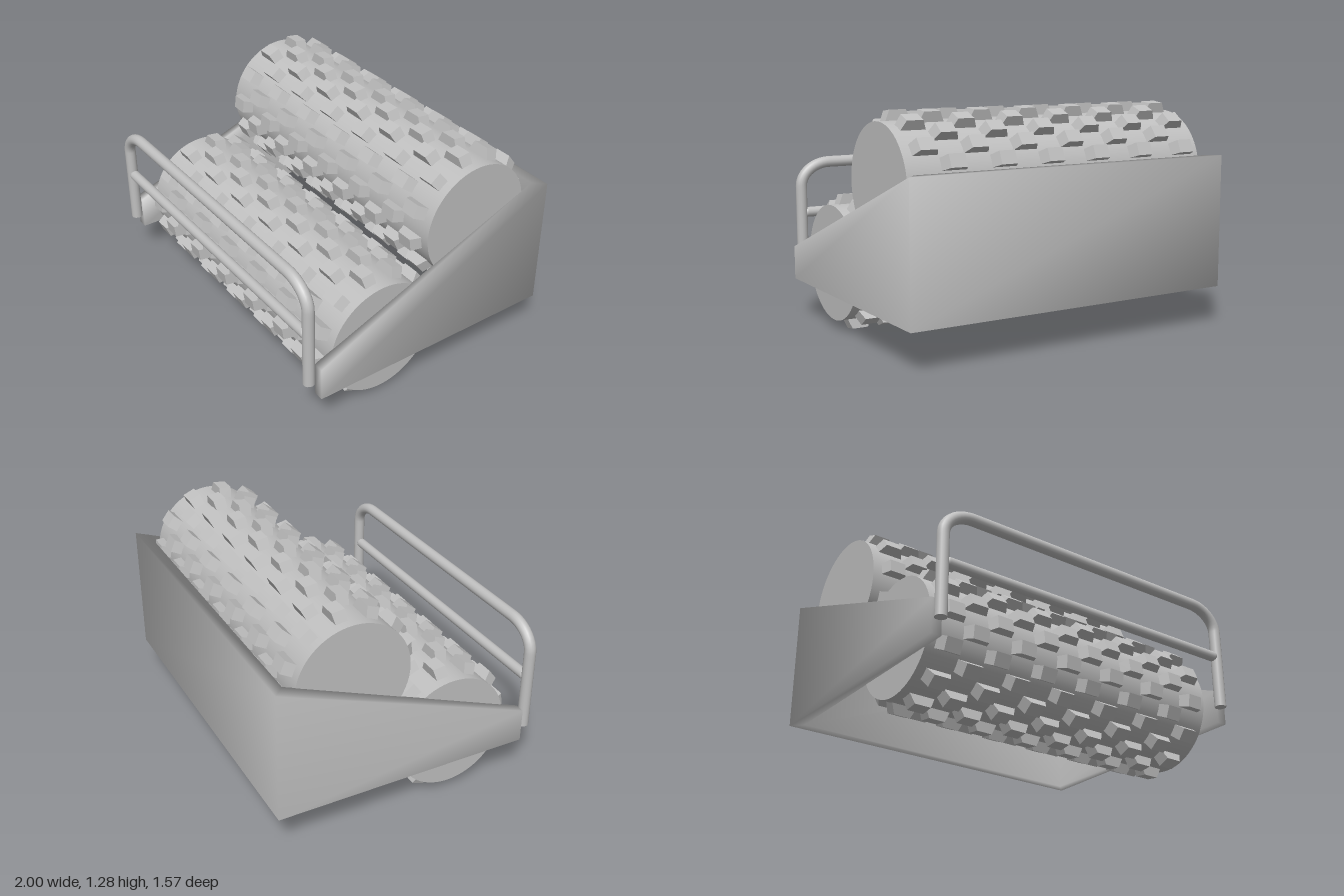
import * as THREE from 'three';
import { mergeGeometries } from 'three/addons/utils/BufferGeometryUtils.js';

const metal = new THREE.MeshStandardMaterial({ color: 0xc0c0c0 });
metal.name = 'grey metal';

function add(parent, name, geometry) {
  const mesh = new THREE.Mesh(geometry, metal);
  mesh.name = name;
  parent.add(mesh);
  return mesh;
}

// One radial tooth, narrower across the roller at its tip
function toothGeometry() {
  const g = new THREE.BoxGeometry(0.148, 0.06, 0.068);
  const p = g.attributes.position;
  for (let i = 0; i < p.count; i++) {
    if (p.getY(i) > 0) {
      p.setX(i, p.getX(i) * 0.64);
      p.setZ(i, p.getZ(i) * 1.1);
    }
  }
  g.computeVertexNormals();
  return g.translate(0, 0.355, 0);
}

// Drum with staggered columns of teeth
function createRoller(name, y, z) {
  const roller = new THREE.Group();
  roller.name = name;
  add(roller, 'drum', new THREE.CylinderGeometry(0.33, 0.33, 1.884, 64).rotateZ(Math.PI / 2));
  const tooth = toothGeometry();
  const teeth = [];
  const columns = 12, perColumn = 12;
  for (let c = 0; c < columns; c++) {
    const x = (c - (columns - 1) / 2) * 0.1486;
    const offset = THREE.MathUtils.degToRad(c % 2 ? 7.5 : -7.5);
    for (let k = 0; k < perColumn; k++) {
      const angle = offset + (k / perColumn) * Math.PI * 2;
      teeth.push(tooth.clone().rotateX(angle).translate(x, 0, 0));
    }
  }
  add(roller, 'teeth', mergeGeometries(teeth));
  roller.position.set(0, y, z);
  return roller;
}

// U-shaped wall, open below and in front, with a sloping top edge
function frameGeometry() {
  const plan = [ // x, z, top height
    [1, 0.717, 0.42], [1, -0.783, 0.987], [-1, -0.783, 0.987], [-1, 0.717, 0.42],
    [-0.94, 0.717, 0.42], [-0.94, -0.72, 0.987], [0.94, -0.72, 0.987], [0.94, 0.717, 0.42],
  ];
  const n = plan.length;
  const positions = [], index = [];
  for (const [x, z] of plan) positions.push(x, 0.225, z);
  for (const [x, z, top] of plan) positions.push(x, top, z);
  const quad = (a, b, c, d) => index.push(a, b, c, a, c, d);
  for (let i = 0; i < n; i++) {
    const j = (i + 1) % n;
    quad(i, j, j + n, i + n);
  }
  for (let i = 0; i < 3; i++) {
    const inner = n - 1 - i;
    quad(n + i, n + i + 1, n + inner - 1, n + inner);
    quad(i, inner, inner - 1, i + 1);
  }
  const g = new THREE.BufferGeometry();
  g.setAttribute('position', new THREE.Float32BufferAttribute(positions, 3));
  g.setIndex(index);
  g.computeVertexNormals();
  return g;
}

// Bent guard rail with a straight cross bar
function createGuardRail() {
  const rail = new THREE.Group();
  rail.name = 'guardRail';
  const r = 0.033, half = 0.95, low = 0.305, high = 0.912, bendX = 0.18, bendY = 0.14;
  const v = (x, y) => new THREE.Vector3(x, y, 0);
  const path = new THREE.CurvePath();
  path.add(new THREE.LineCurve3(v(-half, low), v(-half, high - bendY)));
  path.add(new THREE.CubicBezierCurve3(v(-half, high - bendY), v(-half, high - bendY * 0.45),
    v(-half + bendX * 0.45, high), v(-half + bendX, high)));
  path.add(new THREE.LineCurve3(v(-half + bendX, high), v(half - bendX, high)));
  path.add(new THREE.CubicBezierCurve3(v(half - bendX, high), v(half - bendX * 0.45, high),
    v(half, high - bendY * 0.45), v(half, high - bendY)));
  path.add(new THREE.LineCurve3(v(half, high - bendY), v(half, low)));
  add(rail, 'bentTube', new THREE.TubeGeometry(path, 120, r, 16, false));
  // End caps of the tube
  for (const side of [-1, 1]) {
    add(rail, 'tubeEnd', new THREE.CircleGeometry(r, 16).rotateX(Math.PI / 2))
      .position.set(side * half, low, 0);
  }
  add(rail, 'crossBar', new THREE.CapsuleGeometry(0.03, 1.83, 6, 16).rotateZ(Math.PI / 2))
    .position.y = 0.615;
  rail.position.set(-0.017, 0, 0.75);
  return rail;
}

export function createModel() {
  const model = new THREE.Group();
  model.name = 'twinRollerCrusher';
  model.add(createRoller('upperRoller', 0.895, -0.325));
  model.add(createRoller('lowerRoller', 0.387, 0.285));
  add(model, 'frame', frameGeometry());
  model.add(createGuardRail());
  return model;
}
